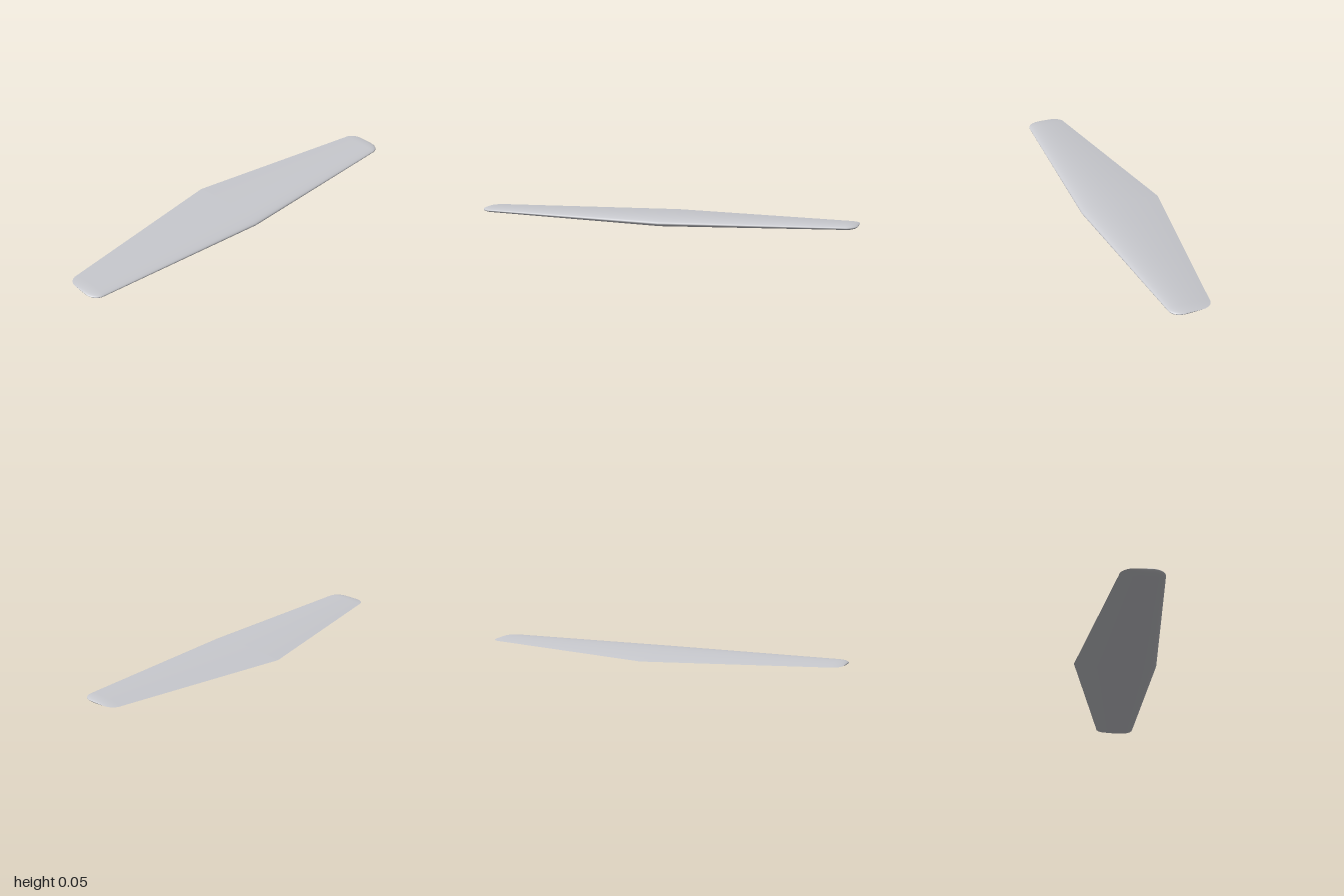
import * as THREE from 'three';

const SPAN = 0.94;   // where the rounded tip begins
const N = 28;        // points per surface along the chord

// Half thickness of a symmetric airfoil; u runs from leading (0) to trailing edge (1)
const halfThickness = (u) =>
  5 * 0.12 * (0.2969 * Math.sqrt(u) - 0.126 * u - 0.3516 * u * u + 0.2843 * u ** 3 - 0.1036 * u ** 4);

const lerp = THREE.MathUtils.lerp;

// Cross-sections from root to tip: z, trailing x, leading x, centre y, thickness scale
function sections() {
  const list = [];
  for (const k of [0, 0.02, 0.25, 0.5, 0.75, 0.97, 1]) {
    const trail = lerp(-0.217, -0.048, k), lead = lerp(0.217, 0.167, k);
    list.push({ z: SPAN * k, trail, lead, y: lerp(0.026, 0.0395, k), thick: lead - trail });
  }
  for (let i = 1; i <= 10; i++) {
    const a = (i / 10) * Math.PI / 2, c = Math.cos(a);
    list.push({
      z: SPAN + 0.06 * Math.sin(a),
      trail: lerp(0.02, -0.048, c), lead: lerp(0.1, 0.167, c),
      y: lerp(0.042, 0.0395, c), thick: 0.215 * c,
    });
  }
  return list;
}

// One half of the wing, lofted through its sections
function halfWing(side) {
  const pos = [], index = [], rings = sections(), row = 2 * N + 1;
  for (const s of rings) {
    for (let j = 0; j < row; j++) {
      const t = (j - N) / N;                        // -1 top trailing, 0 leading, 1 bottom trailing
      const u = 1 - Math.cos(Math.abs(t) * Math.PI / 2);
      const h = Math.abs(t) === 1 ? 0 : halfThickness(u) * s.thick;
      pos.push(lerp(s.lead, s.trail, u), s.y - Math.sign(t) * h, side * s.z);
    }
  }
  for (let i = 0; i < rings.length - 1; i++) {
    for (let j = 0; j < row - 1; j++) {
      const a = i * row + j, b = a + row, c = a + 1, d = b + 1;
      if (side > 0) index.push(a, b, c, c, b, d);
      else index.push(a, c, b, c, d, b);
    }
  }
  const geo = new THREE.BufferGeometry();
  geo.setAttribute('position', new THREE.Float32BufferAttribute(pos, 3));
  geo.setIndex(index);
  geo.computeVertexNormals();
  return geo;
}

export function createModel() {
  const group = new THREE.Group();
  group.name = 'wing';
  const skin = new THREE.MeshStandardMaterial({ color: 0xc8c9ce });
  skin.name = 'light grey skin';
  for (const [name, side] of [['frontWingHalf', 1], ['backWingHalf', -1]]) {
    const mesh = new THREE.Mesh(halfWing(side), skin);
    mesh.name = name;
    group.add(mesh);
  }
  return group;
}
